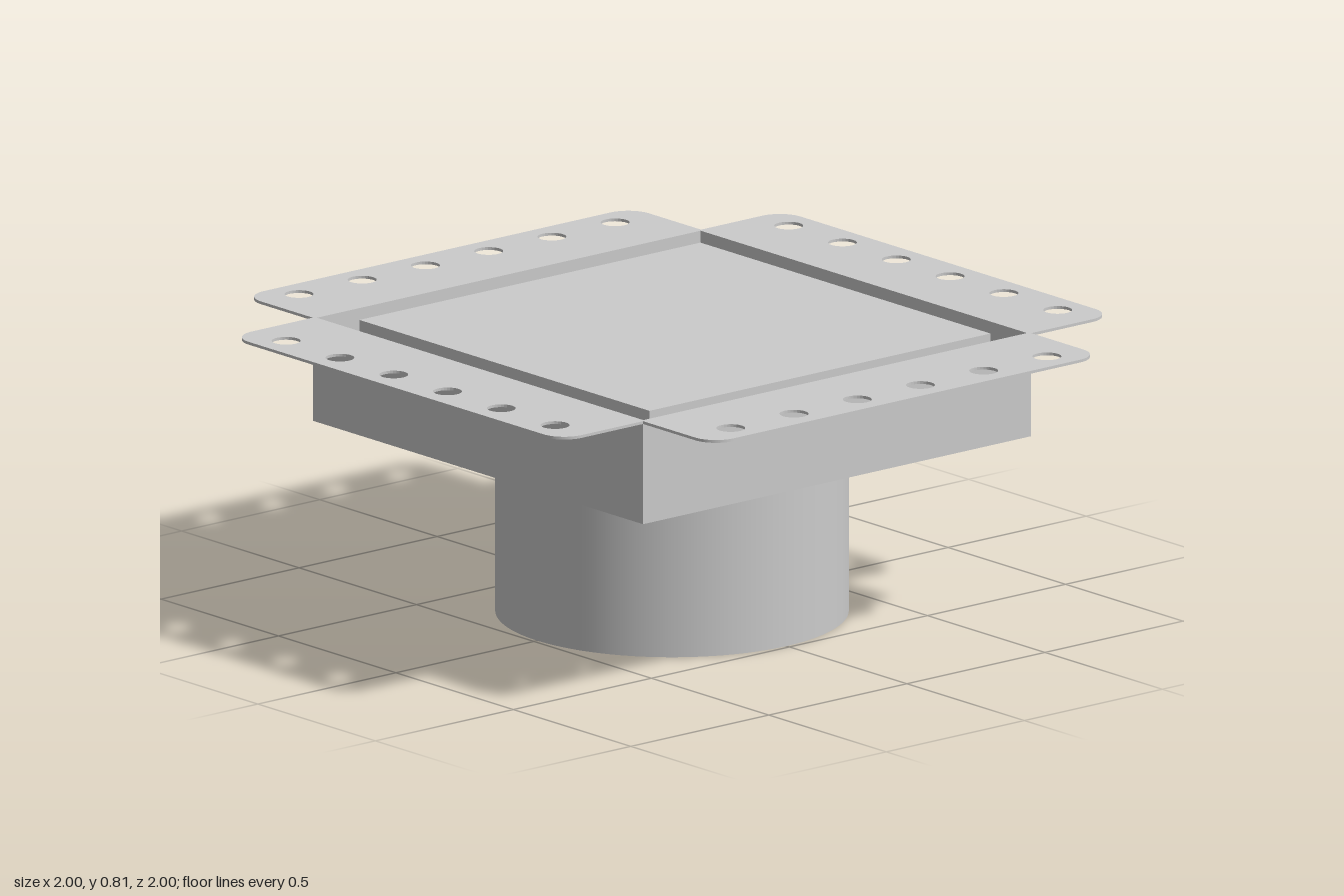
import * as THREE from 'three';

const T = 0.008;          // sheet thickness
const HALF = 0.703;       // half width of the tray
const FLOOR = 0.52, TOP = 0.815;

export function createModel() {
  const model = new THREE.Group();
  const material = new THREE.MeshStandardMaterial({ color: 0xcccccc });

  const add = (name, geometry, x = 0, y = 0, z = 0, parent = model) => {
    const mesh = new THREE.Mesh(geometry, material);
    mesh.name = name;
    mesh.position.set(x, y, z);
    parent.add(mesh);
    return mesh;
  };
  const circle = (x, y, r) => new THREE.Path().absarc(x, y, r, 0, Math.PI * 2, true);
  // Flat sheet lying in the xz plane with its underside at y = 0
  const sheet = (shape, curveSegments) =>
    new THREE.ExtrudeGeometry(shape, { depth: T, bevelEnabled: false, curveSegments }).rotateX(-Math.PI / 2);

  // Drain pipe, open at both ends
  const ro = 0.488, ri = 0.479;
  const wall = [[ri, 0], [ro, 0], [ro, FLOOR], [ri, FLOOR]].map(([x, y]) => new THREE.Vector2(x, y));
  const pipe = new THREE.Group();
  pipe.name = 'drainPipe';
  model.add(pipe);
  add('pipeOuterWall', new THREE.LatheGeometry([wall[1], wall[2]], 96), 0, 0, 0, pipe);
  add('pipeInnerWall', new THREE.LatheGeometry([wall[3], wall[0]], 96), 0, 0, 0, pipe);
  add('pipeRim', new THREE.LatheGeometry([wall[0], wall[1]], 96), 0, 0, 0, pipe);

  // Tray floor with the outlet hole
  const floor = new THREE.Shape();
  floor.moveTo(-HALF, -HALF).lineTo(HALF, -HALF).lineTo(HALF, HALF).lineTo(-HALF, HALF).closePath();
  floor.holes.push(circle(0, 0, ri));
  add('trayFloor', sheet(floor, 48), 0, FLOOR, 0);

  // Four sides: a wall and a perforated flange with rounded outer corners
  const r = 0.075, inner = HALF - T, w = HALF;
  const sides = [['front', 0.004], ['left', 0.008], ['back', 0.005], ['right', 0.001]];
  sides.forEach(([name, shift], i) => {
    const side = new THREE.Group();
    side.name = name + 'Side';
    side.rotation.y = i * Math.PI / 2;
    model.add(side);

    const height = TOP - FLOOR - T;
    add(name + 'Wall', new THREE.BoxGeometry(2 * HALF - T, height, T),
      -T / 2, FLOOR + height / 2, HALF - T / 2, side);

    // Shape y maps to -z
    const flange = new THREE.Shape();
    flange.moveTo(-inner, -inner).lineTo(-w, -HALF).lineTo(-w, -1 + r);
    flange.absarc(-w + r, -1 + r, r, Math.PI, Math.PI * 1.5, false);
    flange.absarc(w - r, -1 + r, r, Math.PI * 1.5, Math.PI * 2, false);
    flange.lineTo(w, -HALF).lineTo(inner, -inner).closePath();
    for (let k = 0; k < 6; k++) {
      flange.holes.push(circle((k - 2.5) * 0.229 + shift, -0.914, 0.04));
    }
    add(name + 'Flange', sheet(flange, 14), 0, TOP - T, 0, side);
  });

  // Loose cover plate sitting inside the tray
  const depth = 0.15;
  add('coverInsert', new THREE.BoxGeometry(1.235, depth, 1.235), 0.002, 0.81 - depth / 2, -0.009);

  return model;
}
